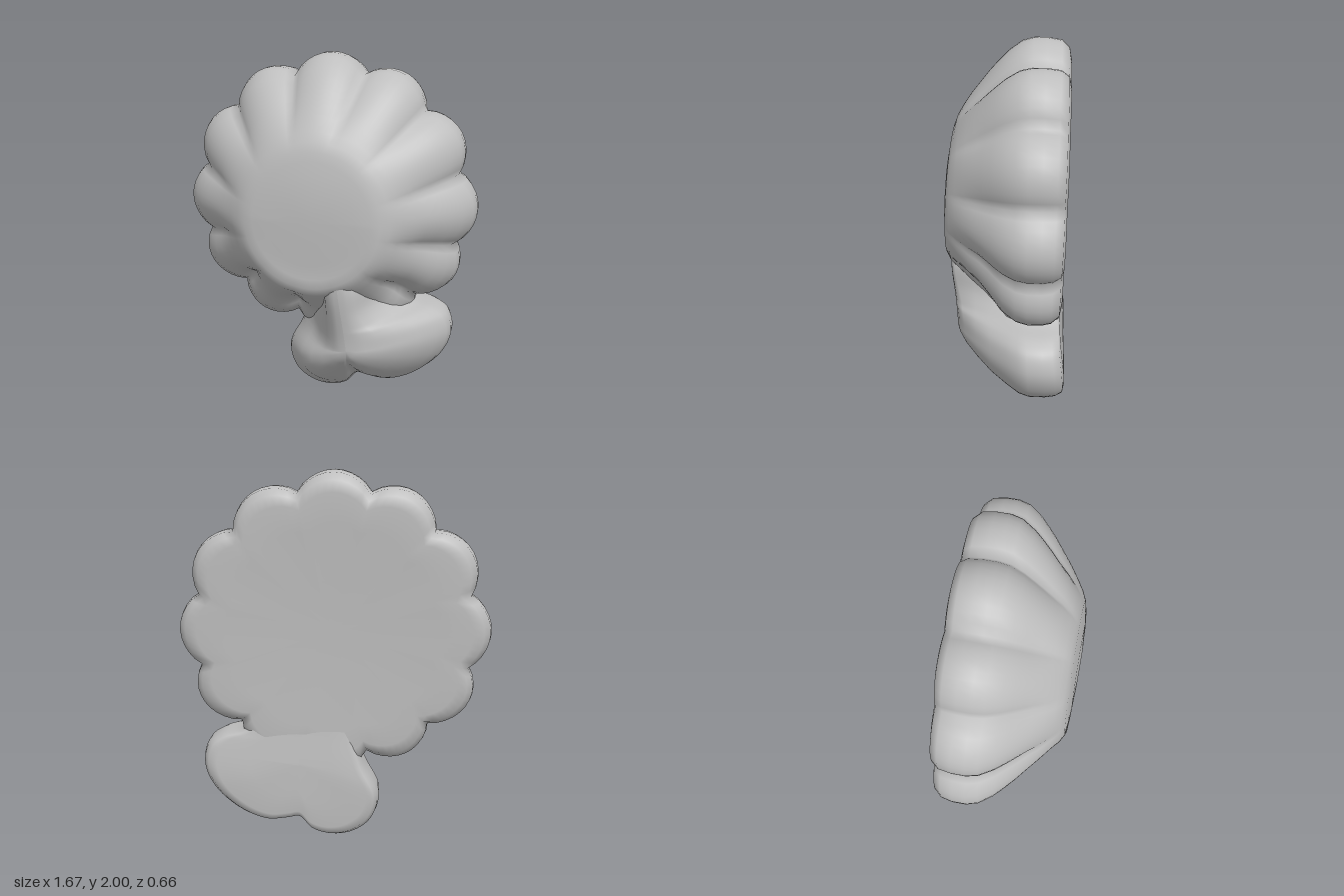
import * as THREE from 'three';
import { mergeVertices } from 'three/addons/utils/BufferGeometryUtils.js';

const { lerp, smoothstep } = THREE.MathUtils;

// Closed pillow: rings run from the front centre out to an outline, round the rim and back.
// Each ring is [spread, z]; place(p, s) sets x and y, height(q, s, z, p) adjusts z.
function pillow(outline, rings, place, height) {
  const n = outline.length, pos = [], idx = [];
  for (const [s, z] of rings) {
    for (const p of outline) {
      const q = place(p, s);
      pos.push(q.x, q.y, height(q, s, z, p));
    }
  }
  for (let i = 0; i < rings.length - 1; i++) {
    for (let j = 0; j < n; j++) {
      const a = i * n + j, b = i * n + (j + 1) % n, c = a + n, d = b + n;
      idx.push(a, c, b, b, c, d);
    }
  }
  let g = new THREE.BufferGeometry();
  g.setAttribute('position', new THREE.Float32BufferAttribute(pos, 3));
  g.setIndex(idx);
  g = mergeVertices(g, 1e-4);
  g.computeVertexNormals();
  return g;
}

const bell = (d, w) => Math.exp(-((d / w) ** 2));
const bump = (q, x, y, w, h) => bell(q.x - x, w) * bell(q.y - y, h);

export function createModel() {
  const group = new THREE.Group();
  const grey = new THREE.MeshStandardMaterial({ color: 0xbebebe });
  grey.name = 'grey';

  // Flower head: twelve rounded petals round a smooth dome
  const cy = 1.17;
  const petals = [];
  const steps = 120;
  for (let i = 0; i < steps; i++) {
    const a = i / steps * Math.PI * 2;
    const low = Math.max(0, -Math.sin(a) - 0.4);
    const r = 0.748 + 0.088 * Math.pow(Math.abs(Math.cos(6 * a)), 0.8) - 0.08 * low;
    petals.push(new THREE.Vector2(Math.cos(a) * r, cy + Math.sin(a) * r));
  }
  const headRings = [[0, 0.332], [0.15, 0.331], [0.3, 0.327], [0.4, 0.32], [0.46, 0.31], [0.52, 0.285],
    [0.58, 0.25], [0.66, 0.2], [0.73, 0.15], [0.8, 0.1], [0.86, 0.052], [0.92, 0], [0.98, -0.07],
    [1, -0.13], [1, -0.2], [0.985, -0.26], [0.94, -0.3], [0.87, -0.312], [0.7, -0.307], [0.35, -0.298],
    [0, -0.295]];
  const placeHead = (p, s) => {
    const a = Math.atan2(p.y - cy, p.x);
    const r = s * lerp(0.8, Math.hypot(p.x, p.y - cy), smoothstep(s, 0.45, 0.95));
    return new THREE.Vector2(Math.cos(a) * r, cy + Math.sin(a) * r);
  };
  const head = new THREE.Mesh(pillow(petals, headRings, placeHead, (q, s, z, p) => {
    const a = Math.atan2(p.y - cy, p.x);
    const up = Math.sin(a);
    if (z < -0.25) return z - 0.015 * up * s;
    const low = Math.max(0, -up), high = Math.max(0, up);
    // grooves between petals, deeper on the lower side
    const groove = (1 - Math.abs(Math.cos(6 * a))) * bell(s - 0.76, 0.14) * (0.012 + 0.05 * low);
    // the dome leans back at the top, and overhangs a steeper fall below
    const lean = 0.02 * high * bell(s - 0.42, 0.14);
    const brow = low * (0.028 * bell(s - 0.49, 0.07) - 0.05 * bell(s - 0.76, 0.13));
    return z - groove - lean + brow;
  }), grey);
  head.name = 'flowerHead';
  group.add(head);

  // Stem base: a neck with a round lobe on one side and a long leaf on the other
  const outline = [[-0.06, 0.8], [-0.1, 0.62], [-0.165, 0.43], [-0.25, 0.25], [-0.215, 0.11], [-0.12, 0.03],
    [0, 0.005], [0.11, 0.035], [0.185, 0.11], [0.26, 0.1], [0.38, 0.09], [0.53, 0.15], [0.67, 0.28],
    [0.725, 0.42], [0.7, 0.53], [0.63, 0.58], [0.51, 0.61], [0.41, 0.68], [0.36, 0.82], [0.14, 0.98]]
    .map(([x, y]) => new THREE.Vector3(x, y, 0));
  const baseOutline = new THREE.CatmullRomCurve3(outline, true).getPoints(120).slice(0, 120);
  const spine = new THREE.Line3(new THREE.Vector3(0.14, 0.84, 0), new THREE.Vector3(0.19, 0.43, 0));
  const placeBase = (p, s) => spine.closestPointToPoint(p, true, new THREE.Vector3()).lerp(p, s);
  const baseRings = [[0, 0.28], [0.1, 0.277], [0.2, 0.26], [0.34, 0.22], [0.52, 0.15], [0.7, 0.07],
    [0.86, -0.02], [0.96, -0.08], [1, -0.13], [1, -0.21], [0.98, -0.26], [0.93, -0.295], [0.84, -0.303],
    [0.5, -0.303], [0, -0.303]];
  const base = new THREE.Mesh(pillow(baseOutline, baseRings, placeBase, (q, s, z) => {
    // back leans out at the foot and tucks into the head at the top
    if (z < 0) return z * (1.09 - 0.14 * smoothstep(q.y, 0.3, 0.75));
    const neck = smoothstep(q.y, 0.43, 0.8) * (0.035 * (1 - s) + 0.045 * bell(s - 0.34, 0.16));
    const lobe = 0.03 * bump(q, -0.06, 0.26, 0.12, 0.12);
    const hollow = 0.035 * bump(q, -0.08, 0.46, 0.1, 0.09) + 0.03 * bump(q, 0.15, 0.2, 0.07, 0.12);
    return z + neck + lobe - hollow;
  }), grey);
  base.name = 'stemBase';
  group.add(base);

  return group;
}
